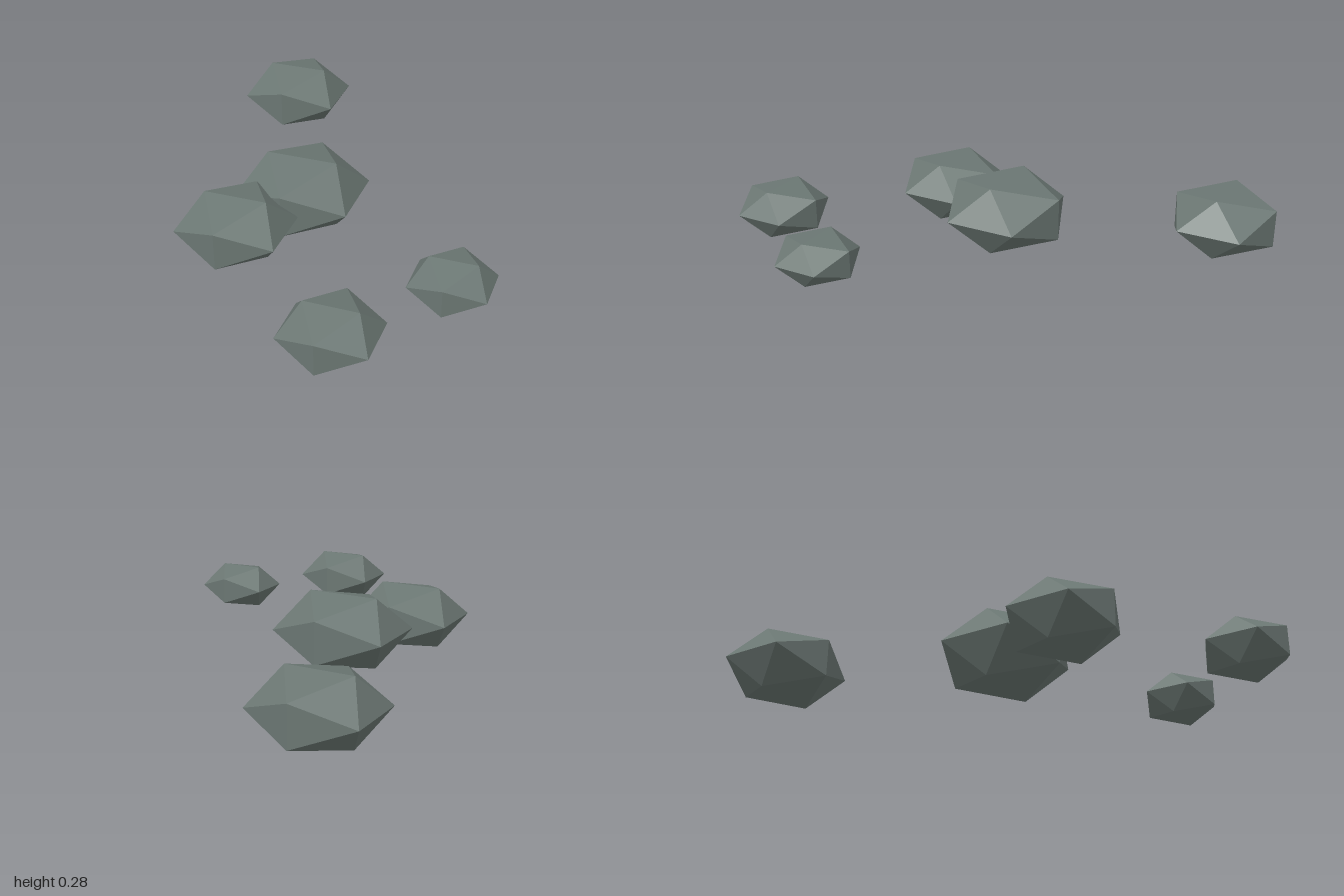
import * as THREE from 'three';

export function createModel() {
  const group = new THREE.Group();
  group.name = 'rocks';
  const stone = new THREE.MeshStandardMaterial({ color: 0x6b7773, flatShading: true });
  stone.name = 'grey green stone';

  // Flattened icosahedral rocks: x, z, radius
  const rocks = [
    [-0.168, 0.018, 0.275],
    [-0.309, 0.348, 0.239],
    [-0.502, -0.794, 0.242],
    [0.25, 0.835, 0.193],
    [0.56, 0.433, 0.171],
  ];
  rocks.forEach(([x, z, radius], i) => {
    const rock = new THREE.Mesh(new THREE.IcosahedronGeometry(radius, 0), stone);
    rock.name = `rock${i + 1}`;
    rock.scale.y = 0.6;
    rock.position.set(x, 0.141, z);
    group.add(rock);
  });
  return group;
}
